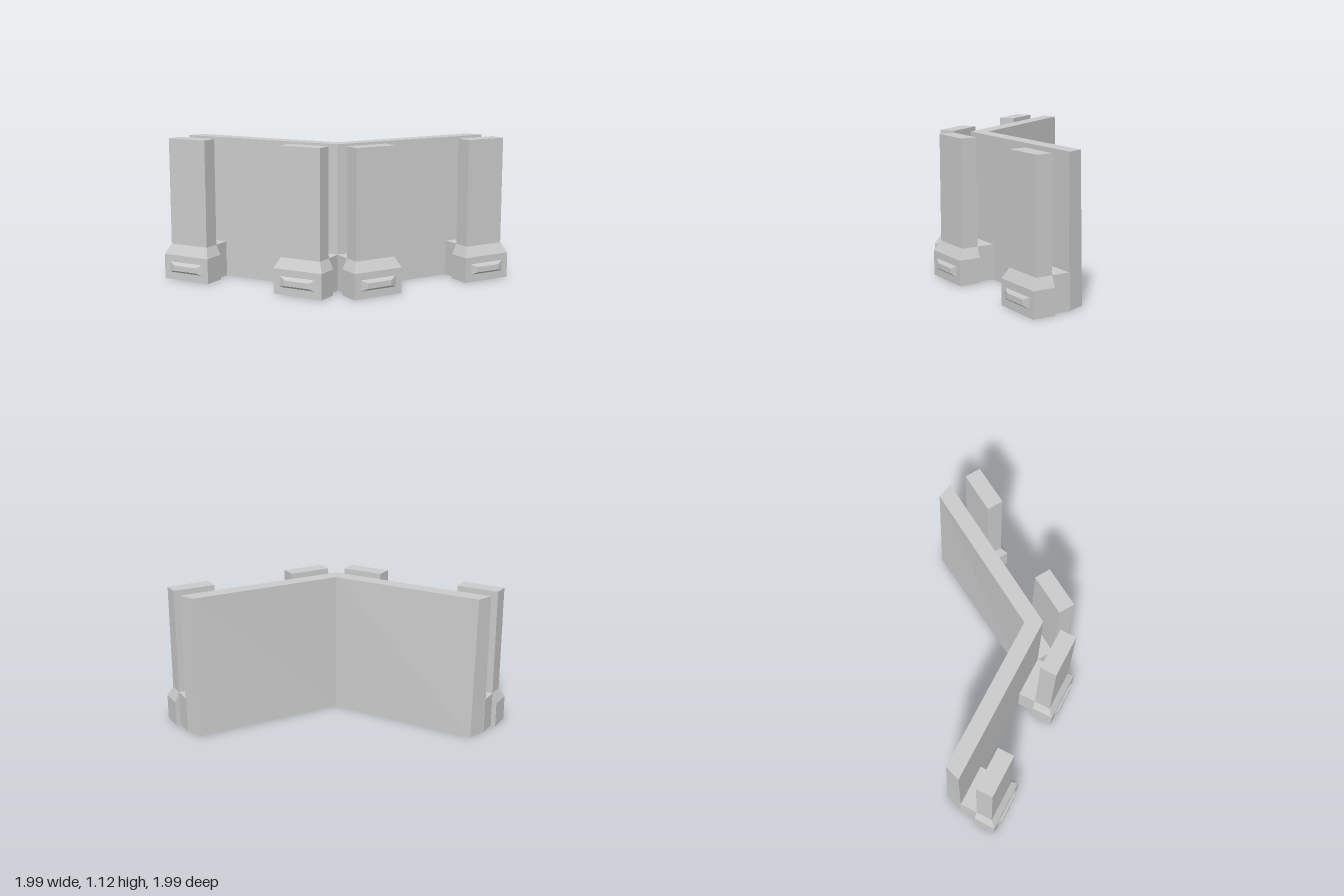
import * as THREE from 'three';

const material = new THREE.MeshStandardMaterial({ color: 0xcccccc, flatShading: true });
const HEIGHT = 1.125, BASE = 0.28;
const COS = Math.cos(0.27), SIN = Math.sin(0.27);

// Wing coordinates: u along the wall, v outward from it, y up.
// The second wing is the first reflected across the diagonal x = -z.
function place(u, y, v, mirrored) {
  const x = -0.31 + u * COS - v * SIN;
  const z = 0.31 + u * SIN + v * COS;
  return mirrored ? [-z, y, -x] : [x, y, z];
}

// Closed solid through rings of equal point count, turned outward by its signed volume.
function loft(name, rings) {
  const tris = [];
  const n = rings[0].length, last = rings[rings.length - 1];
  for (let r = 0; r < rings.length - 1; r++) {
    for (let i = 0; i < n; i++) {
      const j = (i + 1) % n, a = rings[r], b = rings[r + 1];
      tris.push([a[i], a[j], b[j]], [a[i], b[j], b[i]]);
    }
  }
  for (let i = 1; i < n - 1; i++) {
    tris.push([rings[0][0], rings[0][i + 1], rings[0][i]], [last[0], last[i], last[i + 1]]);
  }
  let volume = 0;
  for (const t of tris) {
    const [a, b, c] = t.map((p) => new THREE.Vector3(...p));
    volume += a.dot(b.cross(c));
  }
  if (volume < 0) tris.forEach((t) => t.reverse());
  const geometry = new THREE.BufferGeometry();
  geometry.setAttribute('position', new THREE.Float32BufferAttribute(tris.flat(2), 3));
  geometry.computeVertexNormals();
  const mesh = new THREE.Mesh(geometry, material);
  mesh.name = name;
  return mesh;
}

// Horizontal rectangle in wing coordinates
function level(y, u0, u1, v0, v1, m) {
  return [[u0, v0], [u1, v0], [u1, v1], [u0, v1]].map(([u, v]) => place(u, y, v, m));
}

// Upright rectangle facing outward
function panel(v, u0, u1, y0, y1, m) {
  return [[u0, y0], [u1, y0], [u1, y1], [u0, y1]].map(([u, y]) => place(u, y, v, m));
}

function buttress(u, m) {
  const group = new THREE.Group();
  group.name = 'buttress';
  const u1 = u + 0.34;
  // Low block joining the pillar to the wall
  group.add(loft('footing', [level(0, u, u1, -0.01, 0.15, m), level(BASE, u, u1, -0.01, 0.15, m)]));
  // Pillar with a wider plinth and sloped shoulder
  group.add(loft('pillar', [
    level(0, u - 0.038, u1 + 0.038, 0.143, 0.32, m),
    level(0.2, u - 0.038, u1 + 0.038, 0.143, 0.32, m),
    level(BASE, u, u1, 0.143, 0.275, m),
    level(HEIGHT, u, u1, 0.143, 0.275, m),
  ]));
  // Bevelled raised panel on the plinth
  group.add(loft('plinthPanel', [
    panel(0.315, u + 0.015, u1 - 0.015, 0.06, 0.145, m),
    panel(0.32, u + 0.015, u1 - 0.015, 0.06, 0.145, m),
    panel(0.34, u + 0.065, u1 - 0.065, 0.077, 0.12, m),
  ]));
  return group;
}

// Angled wall: the far inner corners lean slightly outward at the foot
function wallRing(y, end) {
  return [
    [-0.21, y, 0.21], [0.99, y, end], [1, y, 0.675],
    [-0.31, y, 0.31], [-0.675, y, -1], [-end, y, -0.99],
  ];
}

export function createModel() {
  const model = new THREE.Group();
  model.name = 'buttressedCornerWall';
  model.add(loft('cornerWall', [wallRing(0, 0.513), wallRing(HEIGHT, 0.543)]));
  for (const mirrored of [false, true]) {
    for (const u of [-0.003, 1.02]) model.add(buttress(u, mirrored));
  }
  return model;
}
